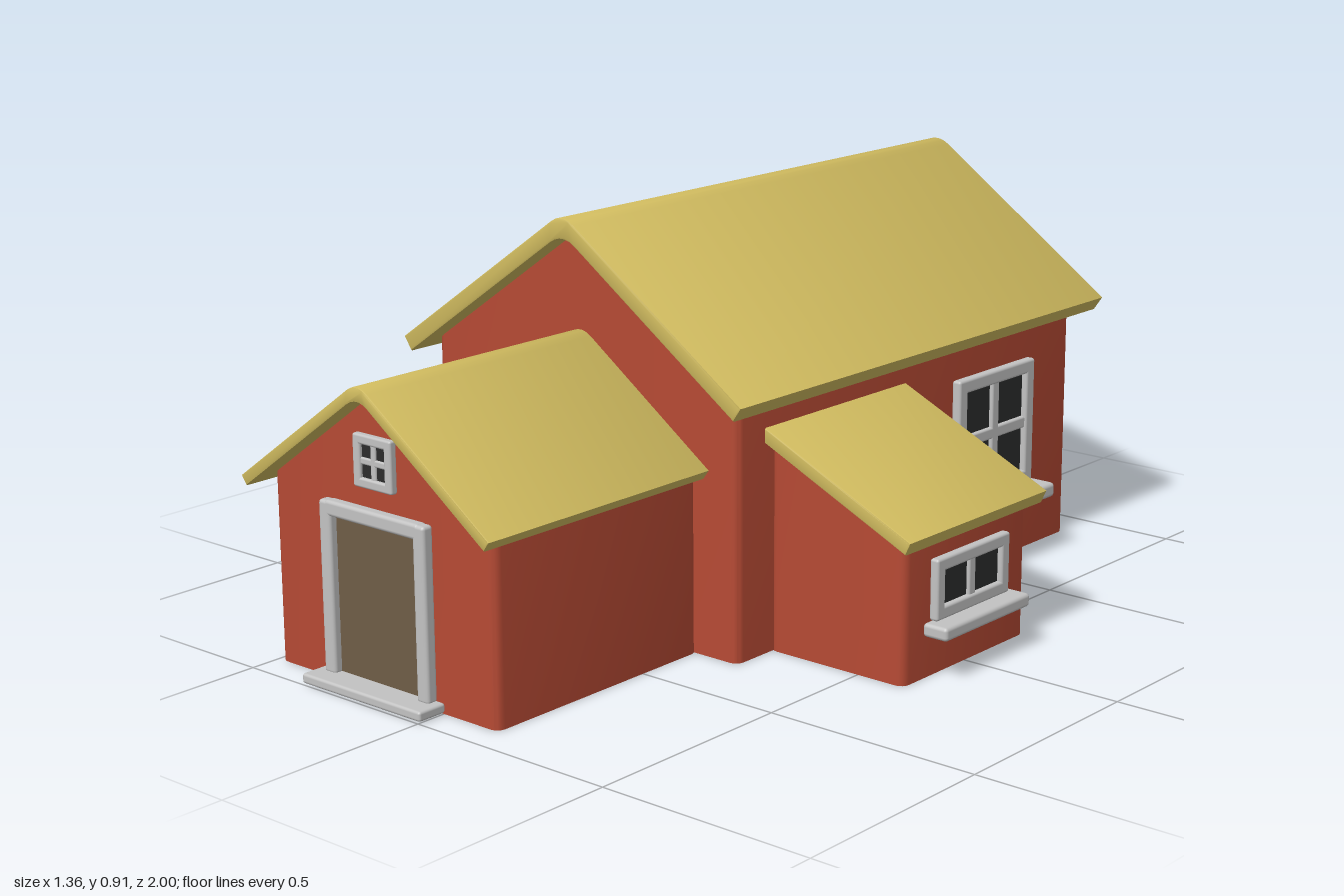
import * as THREE from 'three';
import { toCreasedNormals } from 'three/addons/utils/BufferGeometryUtils.js';
import { RoundedBoxGeometry } from 'three/addons/geometries/RoundedBoxGeometry.js';

const mat = (name, color, side = THREE.FrontSide) => {
  const m = new THREE.MeshStandardMaterial({ color, side });
  m.name = name;
  return m;
};
const red = mat('red wall', 0xb64a34, THREE.DoubleSide);
const straw = mat('straw roof', 0xd0bb5f);
const trim = mat('grey trim', 0xc2c2c2);
const glass = mat('dark glass', 0x2b2c2c);
const wood = mat('brown door', 0x6f5d47);
const CX = -0.17; // ridge line shared by the hall and the porch

function add(parent, name, geometry, material, x = 0, y = 0, z = 0) {
  const mesh = new THREE.Mesh(geometry, material);
  mesh.name = name;
  mesh.position.set(x, y, z);
  parent.add(mesh);
  return mesh;
}

// Open shell on a rounded rectangle; its top edge follows height(x)
function walls(parent, name, x0, x1, z0, z1, height, r = 0.02) {
  const loop = [];
  const corners = [[x1 - r, z0 + r], [x0 + r, z0 + r], [x0 + r, z1 - r], [x1 - r, z1 - r]];
  corners.forEach(([cx, cz], k) => {
    for (let i = 0; i <= 4; i++) {
      const a = (k + i / 4) * Math.PI / 2;
      loop.push([cx + r * Math.cos(a), cz - r * Math.sin(a)]);
    }
    if (k % 2 === 0) loop.push([(x0 + x1) / 2, k ? z1 : z0]);
  });
  const pos = [];
  loop.forEach(([ax, az], i) => {
    const [bx, bz] = loop[(i + 1) % loop.length];
    const a = [ax, 0, az], b = [bx, 0, bz];
    const c = [bx, height(bx), bz], d = [ax, height(ax), az];
    pos.push(...a, ...b, ...c, ...a, ...c, ...d);
  });
  const g = new THREE.BufferGeometry();
  g.setAttribute('position', new THREE.Float32BufferAttribute(pos, 3));
  add(parent, name, toCreasedNormals(g, 0.5), red);
}

// Roof profile swept from z0 to z1 with softened edges
function roof(parent, name, shape, x, z0, z1, bevel = 0.005) {
  const g = new THREE.ExtrudeGeometry(shape, {
    depth: z1 - z0 - 2 * bevel, curveSegments: 5,
    bevelThickness: bevel, bevelSize: bevel, bevelOffset: -bevel, bevelSegments: 2,
  });
  add(parent, name, toCreasedNormals(g, 0.6), straw, x, 0, z0 + bevel);
}

// Two slopes with a rounded ridge; peak is where the upper lines meet
function gable(half, peak, slope, thick, round) {
  const len = Math.hypot(1, slope);
  const inPeak = peak - thick * len;
  const inHalf = half - thick * slope / len;
  const s = new THREE.Shape();
  s.moveTo(half, peak - slope * half);
  s.lineTo(round, peak - slope * round);
  s.quadraticCurveTo(0, peak, -round, peak - slope * round);
  s.lineTo(-half, peak - slope * half);
  s.lineTo(-inHalf, inPeak - slope * inHalf);
  s.lineTo(-round, inPeak - slope * round);
  s.quadraticCurveTo(0, inPeak, round, inPeak - slope * round);
  s.lineTo(inHalf, inPeak - slope * inHalf);
  s.closePath();
  return s;
}

// Rounded bar standing out from a wall, from z = 0 to z = d
function bar(parent, name, x, y, w, h, d) {
  add(parent, name, new RoundedBoxGeometry(w, h, d, 2, Math.min(w, h, d) * 0.28), trim, x, y, d / 2);
}

// Window facing +z, centred on its frame and then turned by ry
function windowUnit(parent, name, [x, y, z], ry, w, h, o = {}) {
  const { border = 0.033, mull = 0.028, depth = 0.024, cross = true, sill = 0, sillH = 0.035 } = o;
  const g = new THREE.Group();
  g.name = name;
  add(g, 'glass', new THREE.BoxGeometry(w - border, h - border, 0.008), glass, 0, 0, 0.006);
  for (const s of [-1, 1]) {
    bar(g, 'frameSide', s * (w - border) / 2, 0, border, h, depth);
    bar(g, 'frameRail', 0, s * (h - border) / 2, w - border, border, depth);
  }
  bar(g, 'mullion', 0, 0, mull, h - border, depth * 0.8);
  if (cross) bar(g, 'crossbar', 0, 0, w - border, mull, depth * 0.8);
  if (sill) bar(g, 'sill', 0, -h / 2 - sillH / 2, w * 1.17, sillH, sill);
  g.position.set(x, y, z);
  g.rotation.y = ry;
  parent.add(g);
}

export function createModel() {
  const house = new THREE.Group();
  house.name = 'house';
  const Q = Math.PI / 2;

  // Main hall
  walls(house, 'hallWalls', -0.61, 0.27, -0.9, 0.333, x => 0.897 - 0.695 * Math.abs(x - CX));
  roof(house, 'hallRoof', gable(0.495, 0.923, 0.695, 0.038, 0.035), CX, -0.958, 0.387);

  // Front porch
  walls(house, 'porchWalls', -0.492, 0.153, 0.325, 0.928, x => 0.656 - 0.715 * Math.abs(x - CX));
  roof(house, 'porchRoof', gable(0.362, 0.671, 0.715, 0.025, 0.03), CX, 0.325, 0.981, 0.004);

  // Lean-to on the left side, closed underneath
  walls(house, 'leanToWalls', 0.262, 0.618, -0.222, 0.216, x => 0.483 - 0.46 * (x - 0.27));
  const floor = add(house, 'leanToFloor', new THREE.PlaneGeometry(0.34, 0.43), red, 0.44, 0.005, -0.003);
  floor.rotation.x = Q;
  const slab = new THREE.Shape();
  slab.moveTo(0.24, 0.513);
  slab.lineTo(0.651, 0.324);
  slab.lineTo(0.638, 0.296);
  slab.lineTo(0.24, 0.479);
  slab.closePath();
  roof(house, 'leanToRoof', slab, 0, -0.249, 0.243, 0.004);

  // Hall windows
  const big = { sill: 0.073 };
  for (const z of [-0.55, -0.055]) windowUnit(house, 'rightWindow', [-0.61, 0.32, z], -Q, 0.3, 0.3, big);
  windowUnit(house, 'leftWindow', [0.27, 0.32, -0.573], Q, 0.3, 0.3, big);
  windowUnit(house, 'backWindow', [-0.175, 0.32, -0.922], Math.PI, 0.3, 0.3, { sill: 0.078 });
  windowUnit(house, 'backGableWindow', [CX, 0.71, -0.915], Math.PI, 0.14, 0.14,
    { border: 0.026, mull: 0.018, depth: 0.02 });

  // Porch windows
  windowUnit(house, 'porchWindow', [-0.492, 0.228, 0.635], -Q, 0.226, 0.226,
    { border: 0.026, mull: 0.021, depth: 0.02, sill: 0.057, sillH: 0.028 });
  windowUnit(house, 'porchGableWindow', [CX, 0.495, 0.928], 0, 0.112, 0.112,
    { border: 0.021, mull: 0.015, depth: 0.018 });

  // Lean-to window
  windowUnit(house, 'leanToWindow', [0.618, 0.191, 0], Q, 0.26, 0.135,
    { border: 0.029, mull: 0.024, depth: 0.022, cross: false, sill: 0.062, sillH: 0.03 });

  // Door with frame and step
  const door = new THREE.Group();
  door.name = 'door';
  door.position.set(CX, 0, 0.928);
  add(door, 'doorPanel', new THREE.BoxGeometry(0.25, 0.355, 0.009), wood, 0, 0.19, 0.005);
  for (const s of [-1, 1]) bar(door, 'doorPost', s * 0.1375, 0.208, 0.034, 0.375, 0.028);
  bar(door, 'doorLintel', 0, 0.38, 0.275, 0.034, 0.028);
  bar(door, 'doorStep', 0, 0.014, 0.35, 0.022, 0.072);
  house.add(door);

  return house;
}
